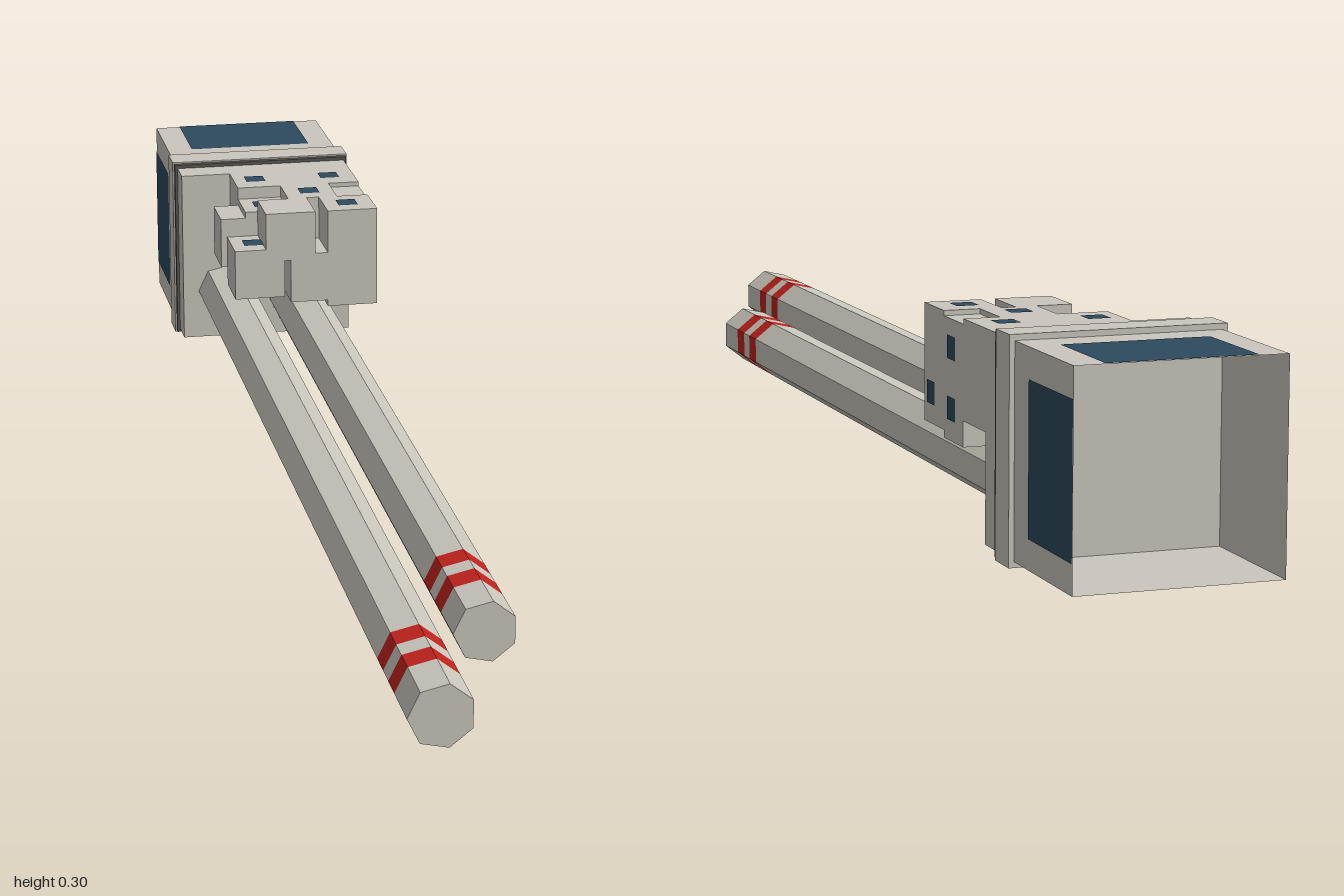
import * as THREE from 'three';

const mat = (color, side = THREE.FrontSide) =>
  new THREE.MeshStandardMaterial({ color, side, flatShading: true });

export function createModel() {
  const root = new THREE.Group();
  const hull = mat(0xcac6bc), thin = mat(0xcac6bc, THREE.DoubleSide);
  const blue = mat(0x2c4a5e), red = mat(0xc0221e), dark = mat(0x5a5650);
  const CY = 0.149, H = 0.14;

  const add = (name, geo, material, parent = root) => {
    const m = new THREE.Mesh(geo, material);
    m.name = name;
    parent.add(m);
    return m;
  };
  const group = (name) => {
    const g = new THREE.Group();
    g.name = name;
    root.add(g);
    return g;
  };
  // box given by its limits on each axis
  const box = (name, [x0, x1], [y0, y1], [z0, z1], material = hull, parent = root) =>
    add(name, new THREE.BoxGeometry(x1 - x0, y1 - y0, z1 - z0), material, parent)
      .position.set((x0 + x1) / 2, (y0 + y1) / 2, (z0 + z1) / 2);

  // square housing: solid front, thin open-backed skirt
  box('housingFront', [-H, H], [CY - H, CY + H], [-0.8, -0.695]);
  const skirt = group('housingSkirt');
  skirt.position.set(0, CY, 0);
  for (let i = 0; i < 4; i++) {
    const side = new THREE.Group();
    side.rotation.z = i * Math.PI / 2;
    skirt.add(side);
    const wall = add('skirtWall', new THREE.PlaneGeometry(2 * H, 0.2), thin, side);
    wall.rotation.x = -Math.PI / 2;
    wall.position.set(0, H, -0.9);
    const panel = add('skirtPanel', new THREE.PlaneGeometry(0.2, 0.148), blue, side);
    panel.rotation.x = -Math.PI / 2;
    panel.position.set(0, H + 0.001, -0.926);
  }

  // raised collar with a dark seal at its front
  box('collar', [-0.147, 0.147], [CY - 0.148, CY + 0.148], [-0.8, -0.751]);
  box('collarSeal', [-0.1445, 0.1445], [CY - 0.1455, CY + 0.1455], [-0.751, -0.742], dark);

  // stepped equipment block, in three layers from back to front
  const block = group('equipmentBlock');
  const layers = [
    { z: [-0.695, -0.61], parts: [[-0.06, 0.14, 0.155, 0.289]] },
    { z: [-0.61, -0.535], parts: [
      [-0.1, -0.06, 0.18, 0.26], [-0.06, 0.01, 0.18, 0.27], [0.01, 0.06, 0.19, 0.289],
      [0.06, 0.09, 0.12, 0.289], [0.09, 0.14, 0.12, 0.282]] },
    { z: [-0.535, -0.455], parts: [
      [-0.09, -0.04, 0.15, 0.23], [-0.04, -0.01, 0.15, 0.289], [-0.01, 0, 0.21, 0.289],
      [0, 0.04, 0.14, 0.289], [0.04, 0.06, 0.14, 0.22], [0.06, 0.14, 0.13, 0.289]] },
  ];
  for (const { z, parts } of layers)
    for (const [x0, x1, y0, y1] of parts) box('blockStep', [x0, x1], [y0, y1], z, hull, block);

  // small square windows on the top and on the left side
  const windows = group('windows');
  const pane = new THREE.PlaneGeometry(0.031, 0.031);
  for (const [x, y, z] of [[-0.025, 0.289, -0.655], [0.098, 0.289, -0.655], [-0.025, 0.27, -0.573],
    [0.05, 0.289, -0.573], [-0.055, 0.23, -0.495], [0.098, 0.289, -0.495]]) {
    const m = add('topWindow', pane, blue, windows);
    m.rotation.x = -Math.PI / 2;
    m.position.set(x, y + 0.001, z);
  }
  for (const [y, z] of [[0.244, -0.565], [0.163, -0.565], [0.172, -0.485]]) {
    const m = add('sideWindow', pane, blue, windows);
    m.rotation.y = Math.PI / 2;
    m.position.set(0.141, y, z);
  }

  // seven-sided barrels, cut into plain and red segments
  const barrel = (name, x, y, cuts) => {
    const g = group(name);
    const R = 0.0435;
    for (let i = 0; i < cuts.length - 1; i++) {
      const len = cuts[i + 1] - cuts[i];
      const geo = new THREE.CylinderGeometry(R, R, len, 7, 1, true);
      geo.rotateY(-Math.PI / 2).rotateX(Math.PI / 2);
      add(i % 2 ? 'redBand' : 'barrelSection', geo, i % 2 ? red : hull, g)
        .position.z = (cuts[i] + cuts[i + 1]) / 2;
    }
    const cap = add('barrelEnd', new THREE.CircleGeometry(R, 7, Math.PI), hull, g);
    cap.position.z = cuts[cuts.length - 1];
    g.position.set(x, y, 0);
  };
  barrel('longBarrel', -0.071, 0.089, [-0.7, 0.818, 0.856, 0.888, 0.925, 1]);
  barrel('shortBarrel', 0.049, 0.068, [-0.7, 0.538, 0.576, 0.606, 0.645, 0.718]);

  return root;
}
